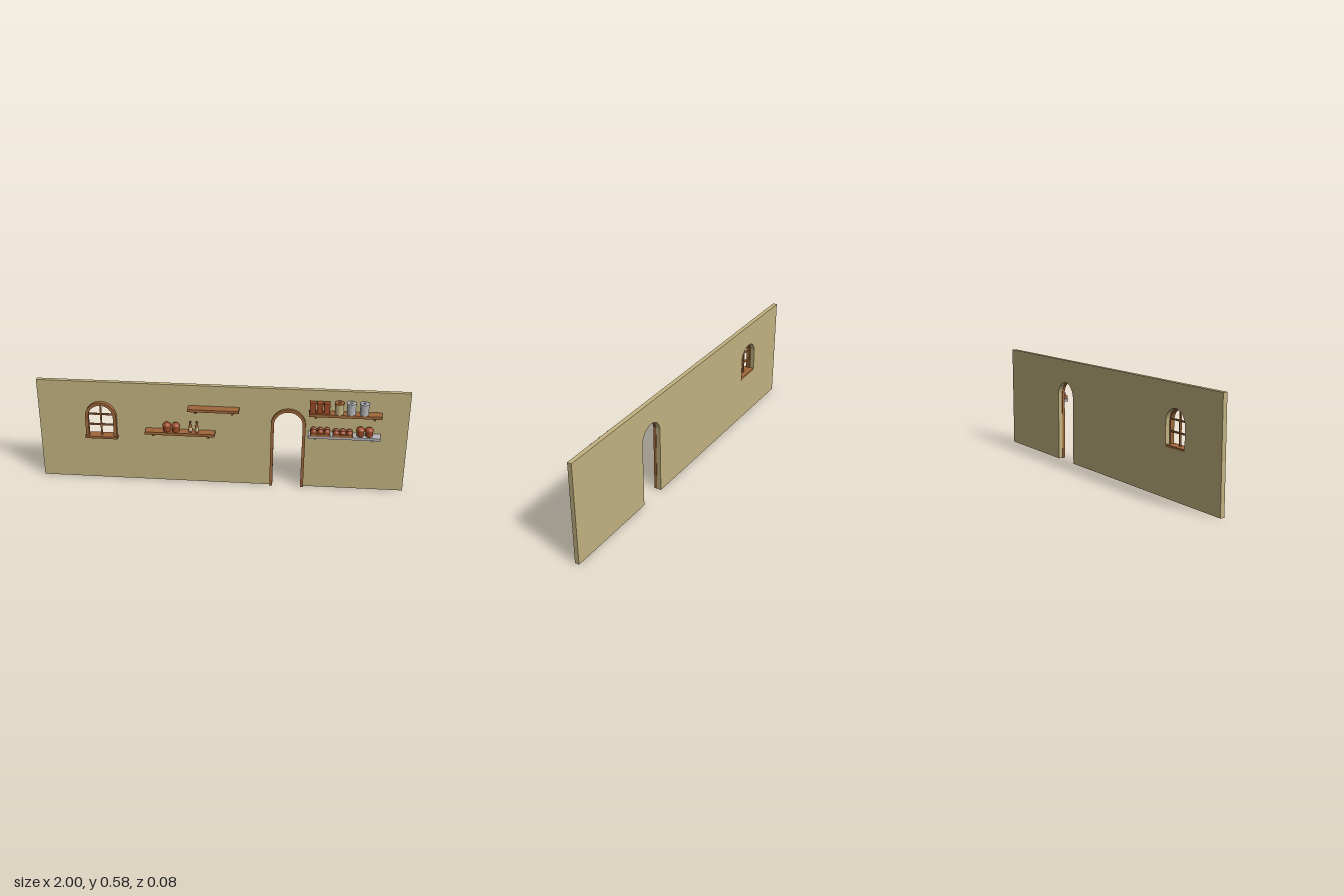
import * as THREE from 'three';

const mat = (name, color) => Object.assign(new THREE.MeshStandardMaterial({ color }), { name });

export function createModel() {
  const plaster = mat('sand plaster', 0xc2b280);
  const wood = mat('warm wood', 0xa0673a);
  const crust = mat('baked crust', 0x9c4a27);
  const metal = mat('pale metal', 0xb4b4b8);
  const cream = mat('cream label', 0xd8c8a0);

  const model = new THREE.Group();
  const add = (name, geo, material, x = 0, y = 0, z = 0, parent = model) => {
    const m = new THREE.Mesh(geo, material);
    m.name = name;
    m.position.set(x, y, z);
    parent.add(m);
    return m;
  };
  // box given by its limits
  const box = (name, material, x0, x1, y0, y1, z0, z1, parent) =>
    add(name, new THREE.BoxGeometry(x1 - x0, y1 - y0, z1 - z0), material,
      (x0 + x1) / 2, (y0 + y1) / 2, (z0 + z1) / 2, parent);
  const lathe = (name, material, pts, x, y, z, parent) =>
    add(name, new THREE.LatheGeometry(pts.map(p => new THREE.Vector2(...p)), 24), material, x, y, z, parent);
  const group = (name, x = 0, y = 0, z = 0) => {
    const g = new THREE.Group();
    g.name = name;
    g.position.set(x, y, z);
    model.add(g);
    return g;
  };

  const BACK = -0.042, FACE = -0.018, TOP = 0.585;
  const extrude = (shape, z0, z1) =>
    new THREE.ExtrudeGeometry(shape, { depth: z1 - z0, bevelEnabled: false, curveSegments: 24 }).translate(0, 0, z0);

  // walls, each notched from the floor by a round-headed opening
  const wall = (name, x0, x1, cx, r, spring) => {
    const s = new THREE.Shape();
    s.moveTo(x0, 0);
    s.lineTo(cx - r, 0);
    s.lineTo(cx - r, spring);
    s.absarc(cx, spring, r, Math.PI, 0, true);
    s.lineTo(cx + r, 0);
    s.lineTo(x1, 0);
    s.lineTo(x1, TOP);
    s.lineTo(x0, TOP);
    s.closePath();
    add(name, extrude(s, BACK, FACE), plaster);
  };
  // arched trim: two legs and a half ring
  const archTrim = (name, cx, r0, r1, bottom, spring, z1) => {
    const s = new THREE.Shape();
    s.moveTo(cx - r1, bottom);
    s.lineTo(cx - r0, bottom);
    s.lineTo(cx - r0, spring);
    s.absarc(cx, spring, r0, Math.PI, 0, true);
    s.lineTo(cx + r0, bottom);
    s.lineTo(cx + r1, bottom);
    s.lineTo(cx + r1, spring);
    s.absarc(cx, spring, r1, 0, Math.PI, false);
    s.closePath();
    add(name, extrude(s, FACE, z1), wood);
  };
  const WX = -0.655, DX = 0.364;
  wall('windowWall', -1, 0.235, WX, 0.075, 0.385);
  wall('doorWall', 0.235, 1, DX, 0.079, 0.378);
  box('panelBelowWindow', plaster, WX - 0.075, WX + 0.075, 0, 0.26, BACK, FACE);
  archTrim('windowFrame', WX, 0.068, 0.085, 0.265, 0.385, 0.005);
  archTrim('doorFrame', DX, 0.077, 0.093, 0, 0.378, -0.002);

  // window sill and glazing bars
  box('windowSill', wood, WX - 0.089, WX + 0.089, 0.258, 0.271, FACE, 0.015);
  box('innerSill', wood, WX - 0.0745, WX + 0.0745, 0.26, 0.271, BACK, FACE);
  box('windowMullion', wood, WX - 0.004, WX + 0.004, 0.271, 0.455, -0.015, -0.005);
  for (const y of [0.335, 0.397]) box('windowBar', wood, WX - 0.07, WX + 0.07, y - 0.004, y + 0.004, -0.015, -0.005);

  // shelves with two brackets each
  const shelf = (name, material, x0, x1, y0, y1, z1, inset) => {
    const g = group(name);
    box('board', material, x0, x1, y0, y1, FACE, z1, g);
    for (const x of [x0 + inset, x1 - inset])
      box('bracket', material, x - 0.006, x + 0.006, y0 - 0.023, y0, FACE, 0.006, g);
  };
  shelf('lowerLeftShelf', wood, -0.41, -0.03, 0.306, 0.322, 0.034, 0.04);
  shelf('upperLeftShelf', wood, -0.175, 0.1, 0.452, 0.467, 0.034, 0.038);
  shelf('upperRightShelf', wood, 0.47, 0.855, 0.453, 0.469, 0.034, 0.037);
  shelf('lowerRightShelf', metal, 0.47, 0.855, 0.327, 0.342, 0.037, 0.04);

  // domed loaves
  const loaf = (x, y) => lathe('domedLoaf', crust, [[0, 0], [0.017, 0], [0.02, 0.004], [0.02, 0.027],
    [0.023, 0.03], [0.023, 0.037], [0.02, 0.044], [0.013, 0.05], [0, 0.053]], x, y, 0.012);
  loaf(-0.291, 0.322);
  loaf(-0.243, 0.322);
  loaf(0.747, 0.342);
  loaf(0.793, 0.342);

  // bottles with labels
  for (const x of [-0.163, -0.128]) {
    const g = group('bottle', x, 0.322, 0.01);
    lathe('glass', wood, [[0, 0], [0.01, 0], [0.01, 0.034], [0.005, 0.044], [0.005, 0.055], [0, 0.055]], 0, 0, 0, g);
    lathe('label', cream, [[0.0105, 0.01], [0.0105, 0.028]], 0, 0, 0, g);
    lathe('cap', crust, [[0, 0.053], [0.006, 0.053], [0.006, 0.062], [0, 0.062]], 0, 0, 0, g);
  }

  // row of dark boxes
  for (let i = 0; i < 3; i++) {
    const x = 0.474 + i * 0.037;
    box('brickLoaf', crust, x, x + 0.032, 0.469, 0.528, -0.008, 0.026);
  }

  // lidded canisters
  [[0.629, plaster, wood], [0.692, metal, metal], [0.76, metal, metal]].forEach(([x, body, lid]) => {
    const g = group('canister', x, 0.469, 0.01);
    const part = (name, m, r, y0, y1) =>
      add(name, new THREE.CylinderGeometry(r, r, y1 - y0, 24), m, 0, (y0 + y1) / 2, 0, g);
    part('body', body, 0.0235, 0, 0.058);
    part('lid', lid, 0.0255, 0.056, 0.063);
    part('knob', lid, 0.008, 0.063, 0.068);
  });

  // two trays of rolls
  const ball = new THREE.SphereGeometry(1, 20, 12);
  [[0.482, 0.588], [0.601, 0.707]].forEach(([x0, x1], t) => {
    const g = group('breadTray');
    box('tray', wood, x0, x1, 0.342, 0.357, -0.015, 0.043, g);
    for (let i = 0; i < 3; i++) for (const z of [0, 0.027]) {
      const x = x0 + (x1 - x0) * (i + 0.5) / 3;
      add('roll', ball, crust, x, 0.36, z, g).scale.set(0.0175, t ? 0.014 : 0.019, 0.014);
    }
  });

  return model;
}
